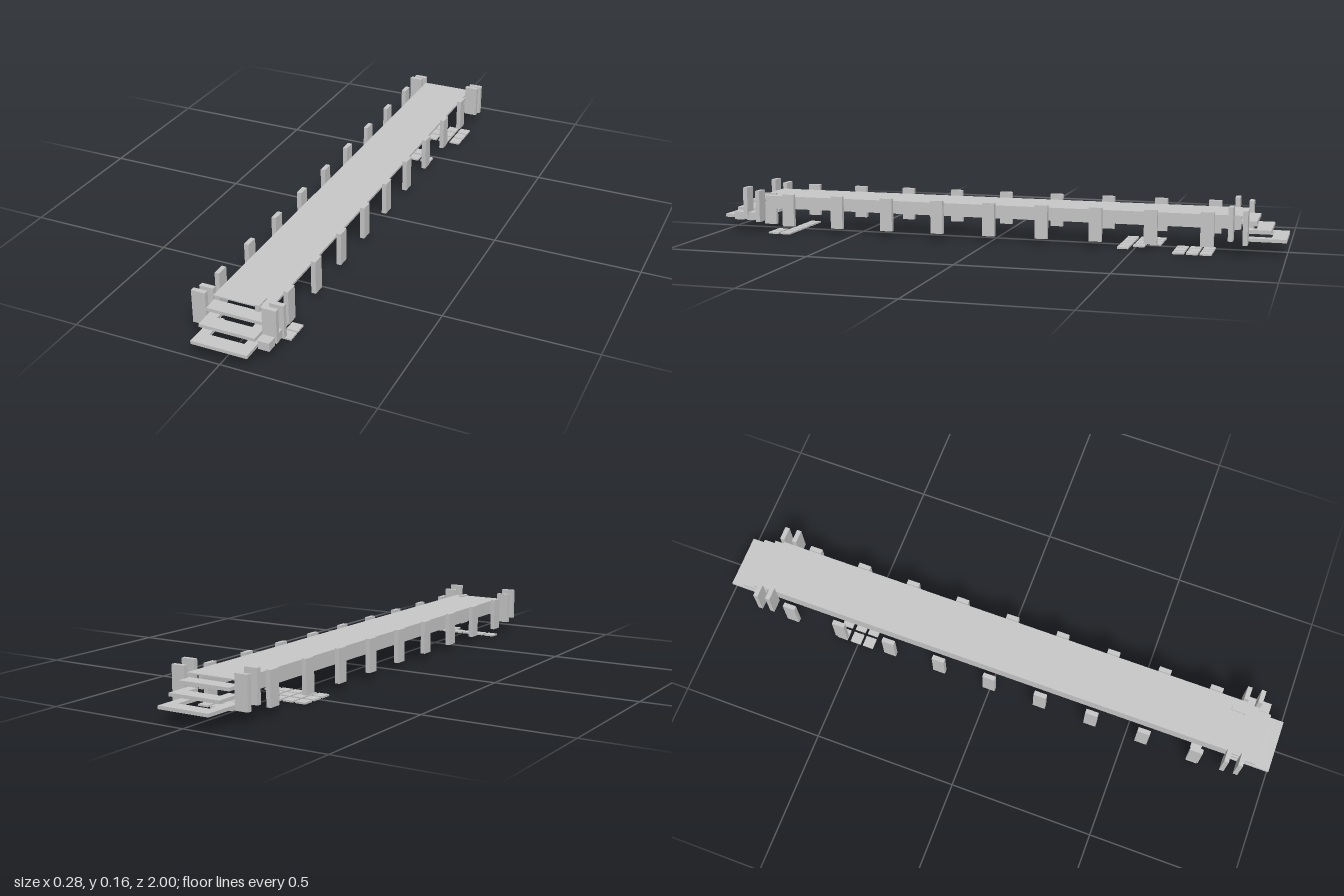
import * as THREE from 'three';

export function createModel() {
  const group = new THREE.Group();
  const grey = new THREE.MeshStandardMaterial({ color: 0xc8c8c8 });
  grey.name = 'light grey';

  // Box given by its limits on each axis
  const box = (name, x0, x1, y0, y1, z0, z1) => {
    const mesh = new THREE.Mesh(new THREE.BoxGeometry(x1 - x0, y1 - y0, Math.abs(z1 - z0)), grey);
    mesh.position.set((x0 + x1) / 2, (y0 + y1) / 2, (z0 + z1) / 2);
    mesh.name = name;
    group.add(mesh);
  };

  const L = -0.095, R = 0.092;

  // Deck and the two long beams beneath it
  box('deck', L, R, 0.126, 0.13, -0.865, 0.857);
  box('rightBeam', L, -0.079, 0.08, 0.126, -0.85, 0.85);
  box('leftBeam', 0.046, 0.061, 0.08, 0.126, -0.85, 0.85);

  // Steps at both ends: a tread with side arms running back
  for (const s of [-1, 1]) {
    [[1.0, 0.046], [0.95, 0.074], [0.903, 0.102]].forEach(([z, y], i) => {
      box('stepTread', L, R, y, y + 0.011, s * z, s * (z - 0.05));
      if (i < 2) {
        box('stepArm', L, L + 0.035, y, y + 0.011, s * (z - 0.05), s * 0.86);
        box('stepArm', R - 0.035, R, y, y + 0.011, s * (z - 0.05), s * 0.86);
      }
    });
  }

  // Posts along both sides
  for (let i = -4; i <= 4; i++) {
    const z = i * 0.1862;
    box('rightPost', -0.142, -0.126, 0.03, 0.145, z - 0.022, z + 0.022);
    box('leftPost', 0.092, 0.108, 0.024, 0.139, z - 0.022, z + 0.022);
  }
  box('innerPost', 0.046, 0.061, 0.022, 0.135, 0.813, 0.86);

  // Pairs of upright panels flanking the steps
  for (const [z, y] of [[0.896, 0.051], [0.849, 0.04], [-0.823, 0.051], [-0.87, 0.04]]) {
    box('rightPanel', -0.142, L, y, y + 0.112, z - 0.008, z + 0.008);
    box('leftPanel', R, 0.139, y, y + 0.112, z - 0.008, z + 0.008);
  }

  // Small blocks beside the front steps
  for (const z of [0.878, 0.924]) box('block', 0.097, 0.134, 0.046, 0.074, z - 0.018, z + 0.018);

  // Paving slabs on the ground: row z, first and last column
  const rows = [
    [0.79, 4, 5], [0.745, 0, 5],
    [-0.745, 3, 5], [-0.7, 3, 5], [-0.655, 3, 5],
    [-0.56, 0, 2], [-0.51, 0, 3], [-0.463, 0, 4],
  ];
  for (const [z, a, b] of rows) {
    for (let c = a; c <= b; c++) {
      const x = (c - 2.5) * 0.0468;
      box('pavingSlab', x - 0.019, x + 0.019, 0, 0.006, z - 0.019, z + 0.019);
    }
  }
  return group;
}
